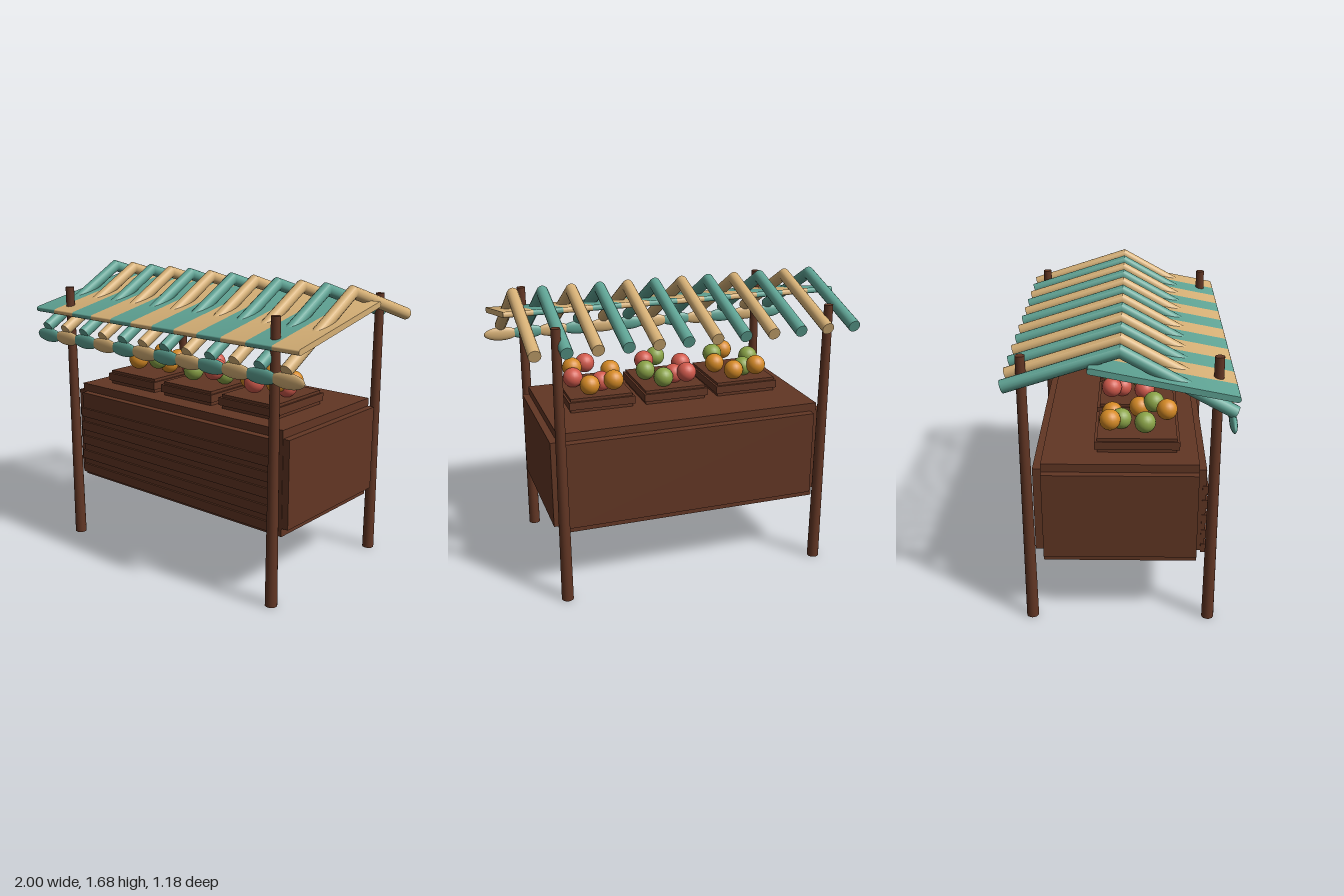
import * as THREE from 'three';
import { toCreasedNormals } from 'three/addons/utils/BufferGeometryUtils.js';

const material = (name, color) => {
  const m = new THREE.MeshStandardMaterial({ color });
  m.name = name;
  return m;
};

export function createModel() {
  const wood = material('brown wood', 0x623624);
  const teal = material('teal cloth', 0x5fa394);
  const tan = material('tan cloth', 0xd6b076);
  const red = material('red fruit', 0xd25a4c);
  const orange = material('orange fruit', 0xd58a25);
  const green = material('green fruit', 0x8aa347);

  const stall = new THREE.Group();
  stall.name = 'marketStall';
  const add = (parent, name, geometry, mat, x = 0, y = 0, z = 0) => {
    const mesh = new THREE.Mesh(geometry, mat);
    mesh.name = name;
    mesh.position.set(x, y, z);
    parent.add(mesh);
    return mesh;
  };
  const group = (name) => {
    const g = new THREE.Group();
    g.name = name;
    stall.add(g);
    return g;
  };
  const box = (parent, name, w, h, d, x, y, z) =>
    add(parent, name, new THREE.BoxGeometry(w, h, d), wood, x, y, z);

  // Tapered corner posts
  const posts = group('posts');
  const postGeometry = new THREE.CylinderGeometry(0.025, 0.034, 1.57, 16);
  for (const x of [-0.768, 0.768]) {
    add(posts, 'frontPost', postGeometry, wood, x, 0.785, 0.492);
    add(posts, 'backPost', postGeometry, wood, x, 0.785, -0.497);
  }

  // Counter: core box, raised panels on the sides, front and back
  const counter = group('counter');
  box(counter, 'counterCore', 1.54, 0.595, 0.835, 0, 0.6675, -0.002);
  box(counter, 'sidePanels', 1.62, 0.5, 0.83, 0, 0.668, -0.002);
  box(counter, 'frontBackPanels', 1.47, 0.5, 0.925, 0, 0.668, -0.005);
  for (const y of [0.795, 0.709, 0.618, 0.522, 0.434]) {
    box(counter, 'frontSlat', 1.48, 0.054, 0.03, 0, y, 0.453);
  }

  // Crates, each with seven fruits
  const slots = [
    [-0.12, 1.115, 0.13], [-0.09, 1.115, -0.06], [0.005, 1.135, 0.25],
    [-0.03, 1.095, 0.0], [0.1, 1.137, 0.18], [0.115, 1.1, 0.1], [0.05, 1.095, -0.05],
  ];
  const fills = [
    [green, orange, orange, green, green, orange, orange],
    [red, red, green, red, red, green, green],
    [orange, orange, red, red, orange, red, orange],
  ];
  const fruitGeometry = new THREE.SphereGeometry(0.058, 20, 14);
  fills.forEach((fill, i) => {
    const crate = group('fruitCrate');
    crate.position.x = (i - 1) * 0.446 - 0.002;
    box(crate, 'crateBody', 0.365, 0.085, 0.43, 0, 1.0045, 0.087);
    box(crate, 'crateRim', 0.388, 0.045, 0.46, 0, 1.008, 0.087);
    fill.forEach((mat, k) => add(crate, 'fruit', fruitGeometry, mat, ...slots[k]));
  });

  // Striped canopy sheet, a thin rounded slab cut into twelve stripes
  const N = 12, W = 1.95 / N;
  const canopy = group('canopy');
  const front = new THREE.Vector2(0.568, 1.428), back = new THREE.Vector2(-0.14, 1.568);
  const half = front.distanceTo(back) / 2, r = 0.016;
  const profile = new THREE.Shape();
  profile.absarc(half, 0, r, -Math.PI / 2, Math.PI / 2);
  profile.absarc(-half, 0, r, Math.PI / 2, Math.PI * 1.5);
  profile.closePath();
  const stripe = toCreasedNormals(
    new THREE.ExtrudeGeometry(profile, { depth: W, bevelEnabled: false, curveSegments: 6 }), 0.7);
  stripe.translate(0, 0, -W / 2);
  stripe.rotateY(-Math.PI / 2);
  stripe.rotateX(Math.atan2(back.y - front.y, front.x - back.x));

  // Bent rafter: a cylinder whose three rings follow the roof line
  const rafter = new THREE.CylinderGeometry(1, 1, 2, 16, 2);
  const rings = [ // centre z, centre y, offset direction z and y, from back to front
    [-0.577, 1.455, -0.011, 0.033],
    [0, 1.643, 0.003, 0.036],
    [0.573, 1.325, 0.0165, 0.03],
  ];
  const p = rafter.attributes.position;
  for (let i = 0; i < p.count; i++) {
    const [cz, cy, dz, dy] = rings[Math.round(p.getY(i)) + 1];
    const s = -p.getZ(i);
    p.setXYZ(i, p.getX(i) * 0.034, cy + s * dy, cz + s * dz);
  }
  const rafterGeometry = toCreasedNormals(rafter, 0.6);

  // Scalloped valance bead at the front of each rafter
  const bead = new THREE.SphereGeometry(1, 20, 14);
  bead.scale(0.106, 0.042, 0.019);

  for (let i = 0; i < N; i++) {
    const x = (i - (N - 1) / 2) * W;
    const mat = i % 2 ? tan : teal;
    add(canopy, 'canopyStripe', stripe, mat, x, (front.y + back.y) / 2, (front.x + back.x) / 2);
    add(canopy, 'rafter', rafterGeometry, mat, x, 0, 0);
    add(canopy, 'valanceBead', bead, mat, x, 1.274, 0.56);
  }
  return stall;
}
